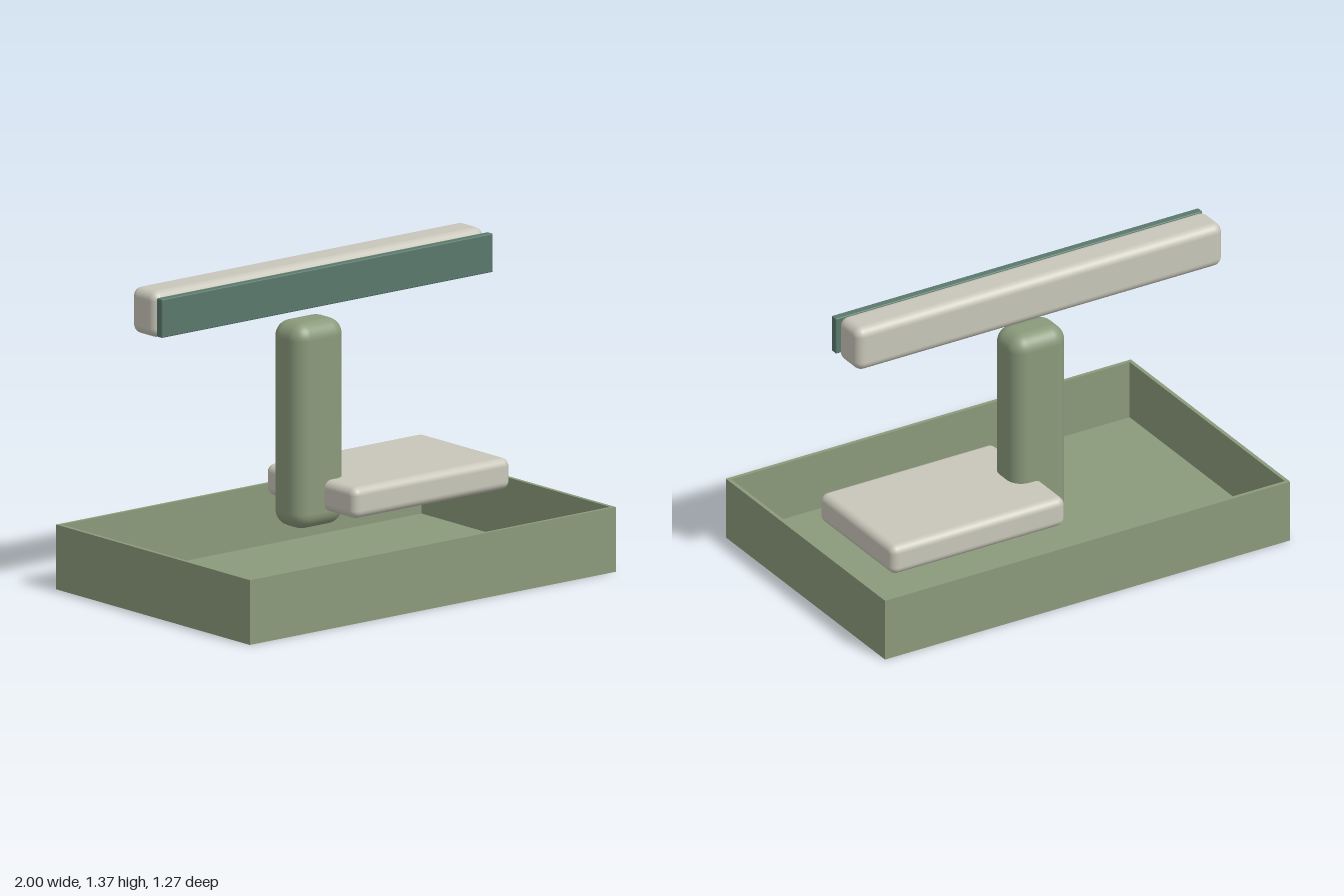
import * as THREE from 'three';
import { RoundedBoxGeometry } from 'three/addons/geometries/RoundedBoxGeometry.js';

function material(name, color) {
  const m = new THREE.MeshStandardMaterial({ color });
  m.name = name;
  return m;
}

// Box given by its [min, max] on each axis; a radius rounds its edges
function block(name, mat, [x0, x1], [y0, y1], [z0, z1], radius = 0) {
  const size = [x1 - x0, y1 - y0, z1 - z0];
  const geometry = radius
    ? new RoundedBoxGeometry(...size, 5, radius)
    : new THREE.BoxGeometry(...size);
  const mesh = new THREE.Mesh(geometry, mat);
  mesh.name = name;
  mesh.position.set((x0 + x1) / 2, (y0 + y1) / 2, (z0 + z1) / 2);
  return mesh;
}

export function createModel() {
  const sage = material('sage green', 0x8a9a7b);
  const cream = material('warm grey', 0xc8c6b9);
  const teal = material('dark teal', 0x5a786c);

  const model = new THREE.Group();
  model.name = 'trayWithPost';

  // Open tray: floor and four thin walls
  const W = 1, D = 0.635, H = 0.28, T = 0.017;
  const tray = new THREE.Group();
  tray.name = 'tray';
  tray.add(block('trayFloor', sage, [-W, W], [0, T], [-D, D]));
  tray.add(block('leftWall', sage, [W - T, W], [T, H], [-D, D]));
  tray.add(block('rightWall', sage, [-W, -W + T], [T, H], [-D, D]));
  tray.add(block('frontWall', sage, [-W + T, W - T], [T, H], [D - T, D]));
  tray.add(block('backWall', sage, [-W + T, W - T], [T, H], [-D, -D + T]));
  model.add(tray);

  // Rounded post and the pad beside it
  model.add(block('post', sage, [-0.135, 0.135], [0.21, 1.1], [-0.28, -0.08], 0.07));
  model.add(block('pad', cream, [0.005, 0.865], [0.28, 0.415], [-0.475, 0.115], 0.035));

  // Long bar above the post with a flat panel in front
  model.add(block('topBar', cream, [-0.905, 0.905], [1.165, 1.365], [-0.264, -0.1], 0.04));
  model.add(block('frontPanel', teal, [-0.905, 0.905], [1.18, 1.347], [-0.09, -0.055], 0.005));

  return model;
}
